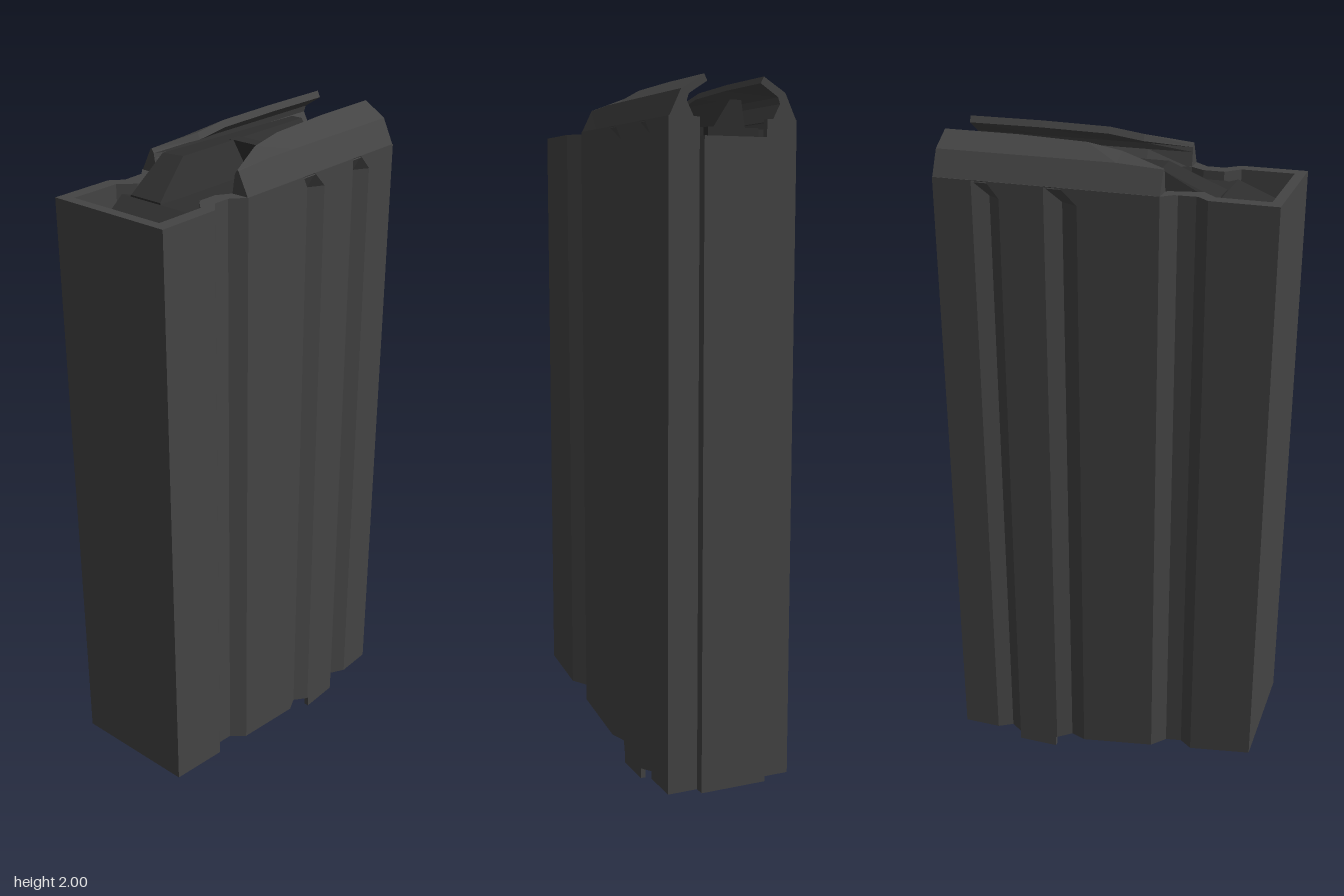
import * as THREE from 'three';

const shellMat = new THREE.MeshStandardMaterial({ color: 0x444444, flatShading: true });
const innerMat = new THREE.MeshStandardMaterial({ color: 0x2e2e2e, flatShading: true });

// Right half outlines as [x, z], running from front to back
const GROOVE = 0.165;
const frontSide = [[0.19, 0.5], [0.19, 0.31], [0.155, 0.27], [0.155, 0.22], [0.19, 0.18],
  [0.19, -0.05], [GROOVE, -0.1], [0.19, -0.145], [0.19, -0.15]];
const backSide = [[0.19, -0.15], [0.19, -0.275], [GROOVE, -0.312], [0.19, -0.355], [0.19, -0.47]];
const innerSide = [[0.1, -0.47], [0.1, -0.45], [0.13, -0.45], [0.13, 0.15], [0.135, 0.18],
  [0.11, 0.22], [0.11, 0.28], [0.15, 0.32], [0.15, 0.47]];

const mirrored = (side) => [...side, ...side.map(([x, z]) => [-x, z]).reverse()];

// Upright prism from a plan outline, with an optional rule that moves vertices
function prism(points, y0, y1, rule) {
  const shape = new THREE.Shape(points.map(([x, z]) => new THREE.Vector2(x, -z)));
  const g = new THREE.ExtrudeGeometry(shape, { depth: y1 - y0, bevelEnabled: false });
  g.rotateX(-Math.PI / 2).translate(0, y0, 0);
  if (rule) {
    const p = g.attributes.position, v = new THREE.Vector3();
    for (let i = 0; i < p.count; i++) {
      v.fromBufferAttribute(p, i);
      rule(v);
      p.setXYZ(i, v.x, v.y, v.z);
    }
    g.computeVertexNormals();
  }
  return g;
}

// Closed skin through sections {z, ring}, front to back; rings run counter-clockwise seen from the front
function loft(sections, mirror = 1) {
  const rings = sections.map(({ z, ring }) => {
    const r = ring.map(([x, y]) => new THREE.Vector3(x * mirror, y, z));
    return mirror < 0 ? r.reverse() : r;
  });
  const pos = [], n = rings[0].length, last = rings.length - 1;
  const tri = (...vs) => vs.forEach((v) => pos.push(v.x, v.y, v.z));
  for (let i = 0; i < last; i++) {
    for (let j = 0; j < n; j++) {
      const k = (j + 1) % n;
      tri(rings[i][j], rings[i + 1][j], rings[i][k]);
      tri(rings[i][k], rings[i + 1][j], rings[i + 1][k]);
    }
  }
  const cap = (r) => THREE.ShapeUtils.triangulateShape(r.map((v) => new THREE.Vector2(v.x, v.y)), []);
  cap(rings[0]).forEach(([a, b, c]) => tri(rings[0][a], rings[0][b], rings[0][c]));
  cap(rings[last]).forEach(([a, b, c]) => tri(rings[last][a], rings[last][c], rings[last][b]));
  const g = new THREE.BufferGeometry();
  g.setAttribute('position', new THREE.Float32BufferAttribute(pos, 3));
  g.computeVertexNormals();
  return g;
}

export function createModel() {
  const model = new THREE.Group();
  model.name = 'boxContainer';
  const add = (name, geometry, material = shellMat) => {
    const mesh = new THREE.Mesh(geometry, material);
    mesh.name = name;
    model.add(mesh);
    return mesh;
  };

  // Lower casing: the front half has a sloping underside
  add('frontCasing', prism(mirrored(frontSide), 0, 1.78, (v) => {
    if (v.y < 0.5) v.y = 0.035 + (v.z + 0.15) * (0.1 / 0.65);
  }));
  add('rearCasing', prism(mirrored(backSide), 0.03, 1.78));
  add('spine', new THREE.BoxGeometry(0.2, 1.81, 0.035)).position.set(0, 0.935, -0.4825);

  // Hollow top, open at the back; the side grooves run out at the rim
  const wall = mirrored([...innerSide.slice().reverse(), ...backSide.slice().reverse(),
    ...frontSide.slice(0, -1).reverse()].reverse());
  add('upperWall', prism(wall, 1.78, 1.845));
  add('rim', prism(wall, 1.845, 1.89, (v) => {
    if (v.y > 1.87 && Math.abs(Math.abs(v.x) - GROOVE) < 0.001) v.x = Math.sign(v.x) * 0.19;
  }));

  // Folded lips and small bottom tabs on both sides
  const lipSection = (z, tipX, tipY) => ({
    z, ring: [[0.19, 1.885], [0.154, 1.96], [tipX, tipY], [tipX - 0.009, tipY - 0.018],
      [0.132, 1.948], [0.138, 1.93], [0.115, 1.885]],
  });
  const lip = [
    { z: 0.18, ring: [[0.19, 1.885], [0.156, 1.953], [0.152, 1.955], [0.147, 1.948],
      [0.144, 1.943], [0.142, 1.93], [0.135, 1.885]] },
    lipSection(0.05, 0.102, 1.98), lipSection(-0.05, 0.096, 1.995),
    lipSection(-0.25, 0.09, 2), lipSection(-0.47, 0.088, 2),
  ];
  for (const s of [1, -1]) {
    const side = s > 0 ? 'left' : 'right';
    add(side + 'Lip', loft(lip, s));
    add(side + 'Tab', new THREE.BoxGeometry(0.015, 0.05, 0.125)).position.set(s * 0.1825, 0.025, -0.2125);
  }

  // Inner lifting plate with its sloping nose
  const plate = [[0.135, 0.315], [0.105, 0.295], [0.135, 0.24], [0.125, 0.17],
    [0.12, -0.43], [0.075, -0.44], [0.075, -0.468]];
  add('liftPlate', prism(mirrored(plate), 1.77, 1.865), innerMat);
  add('liftPlateNose', prism(mirrored([[0.07, 0.46], [0.135, 0.315]]), 1.77, 1.865, (v) => {
    if (v.y > 1.8 && v.z > 0.4) v.y = 1.83;
  }), innerMat);

  // Off-centre ridge on the plate, with a cross bar
  const ridge = [[0.01, 1.86], [-0.05, 1.95], [-0.125, 1.945], [-0.14, 1.86]];
  add('liftRidge', loft([
    { z: 0.315, ring: [[0.01, 1.86], [0.005, 1.87], [-0.1, 1.87], [-0.108, 1.86]] },
    { z: 0.165, ring: ridge },
    { z: -0.345, ring: [ridge[0], ridge[1], [-0.085, 1.95], [-0.1, 1.86]] },
  ]), innerMat);
  add('crossBar', new THREE.BoxGeometry(0.1, 0.09, 0.04), innerMat).position.set(-0.017, 1.905, -0.06);

  return model;
}
